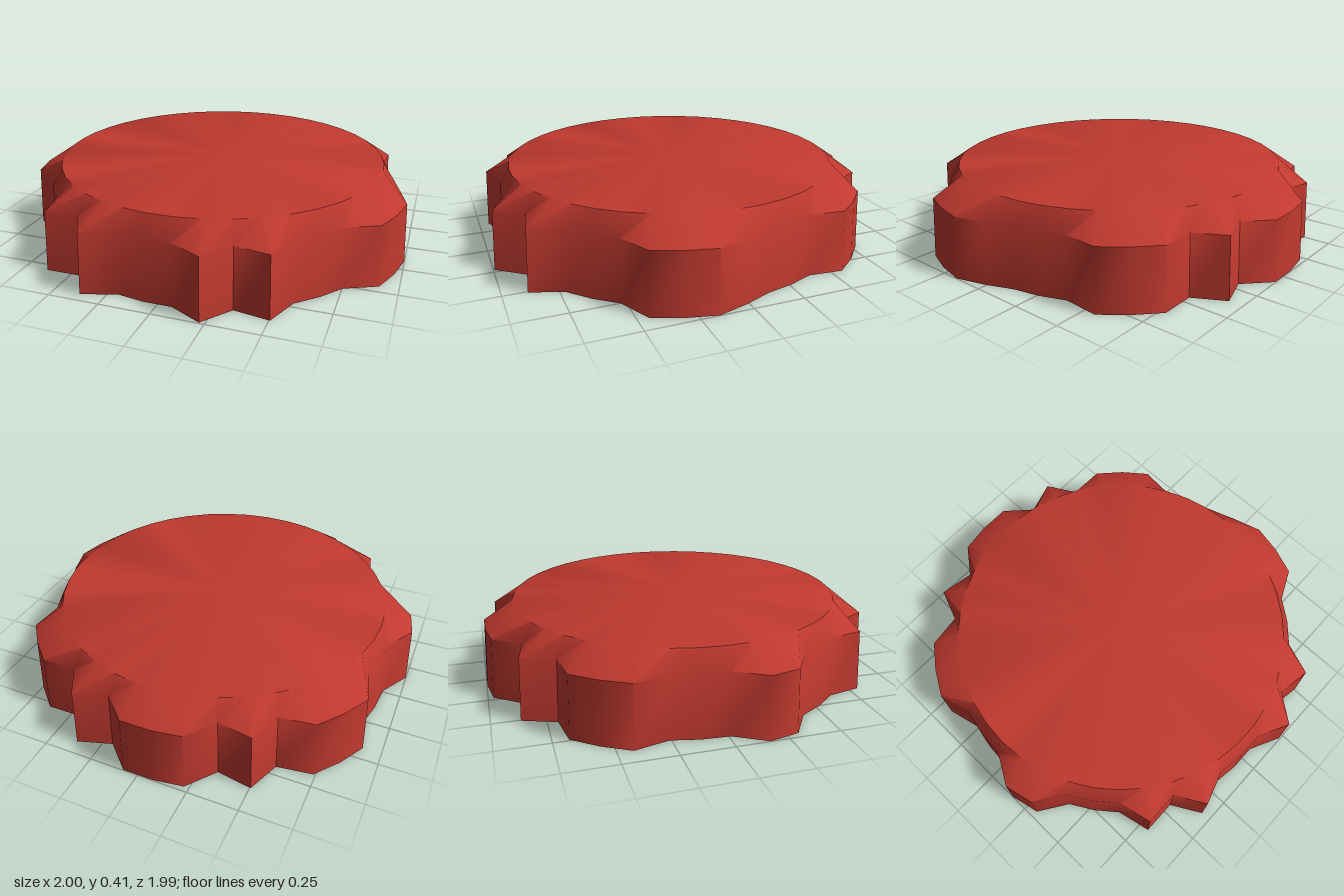
import * as THREE from 'three';
import { toCreasedNormals } from 'three/addons/utils/BufferGeometryUtils.js';

// Crimp pattern around the skirt, clockwise from the back: 1 = ridge, 0 = groove
const CRIMPS = [
  1, 0, 1, 0, 1, 1, 1, 0, 0, 0, 0.45, 1, 1, 1, 0, 0, 0, 1, 0, 1, 0,
  0, 0, 1, 0, 1, 0, 0, 0, 1, 1, 0, 0, 0, 1, 1, 1, 0, 1, 0, 1, 1,
];
const N = CRIMPS.length;

// One ring of points at height y; radius(crimp) gives the distance from the axis
function ring(y, radius) {
  return CRIMPS.map((c, k) => {
    const a = ((k + 0.5) / N) * Math.PI * 2;
    const r = radius(c);
    return [r * Math.sin(a), y, 0.01 - r * Math.cos(a)];
  });
}

// Skin a list of rings; a ring of radius 0 closes the surface at its centre
function skin(name, rings, material, crease) {
  const pos = [];
  const tri = (a, b, c) => {
    const same = (p, q) => Math.hypot(p[0] - q[0], p[1] - q[1], p[2] - q[2]) < 1e-6;
    if (!same(a, b) && !same(b, c) && !same(c, a)) pos.push(...a, ...b, ...c);
  };
  for (let i = 0; i < rings.length - 1; i++) {
    const A = rings[i], B = rings[i + 1];
    for (let k = 0; k < N; k++) {
      const n = (k + 1) % N;
      tri(A[k], B[n], B[k]);
      tri(A[k], A[n], B[n]);
    }
  }
  const geo = new THREE.BufferGeometry();
  geo.setAttribute('position', new THREE.Float32BufferAttribute(pos, 3));
  const mesh = new THREE.Mesh(toCreasedNormals(geo, crease), material);
  mesh.name = name;
  return mesh;
}

export function createModel() {
  const group = new THREE.Group();
  group.name = 'bottleCap';
  const red = new THREE.MeshStandardMaterial({ color: 0xc0392f });
  red.name = 'red';

  const outer = (c) => 0.91 + 0.1 * c;
  const inner = (c) => 0.81 + 0.1 * c;
  const bottomOuter = ring(0, outer);
  const bottomInner = ring(0, inner);

  // Flat top, sloping shoulder and crimped skirt
  group.add(skin('outerShell', [
    ring(0.405, () => 0),
    ring(0.405, () => 0.845),
    ring(0.305, (c) => outer(c) * 0.985),
    bottomOuter,
  ], red, Math.PI / 4));

  // Flat bottom edge of the skirt
  group.add(skin('rim', [bottomOuter, bottomInner], red, Math.PI / 6));

  // Hollow inside: crimped wall narrowing to a round ceiling
  group.add(skin('innerLining', [
    bottomInner,
    ring(0.305, () => 0.81),
    ring(0.305, () => 0),
  ], red, Math.PI / 6));

  return group;
}
